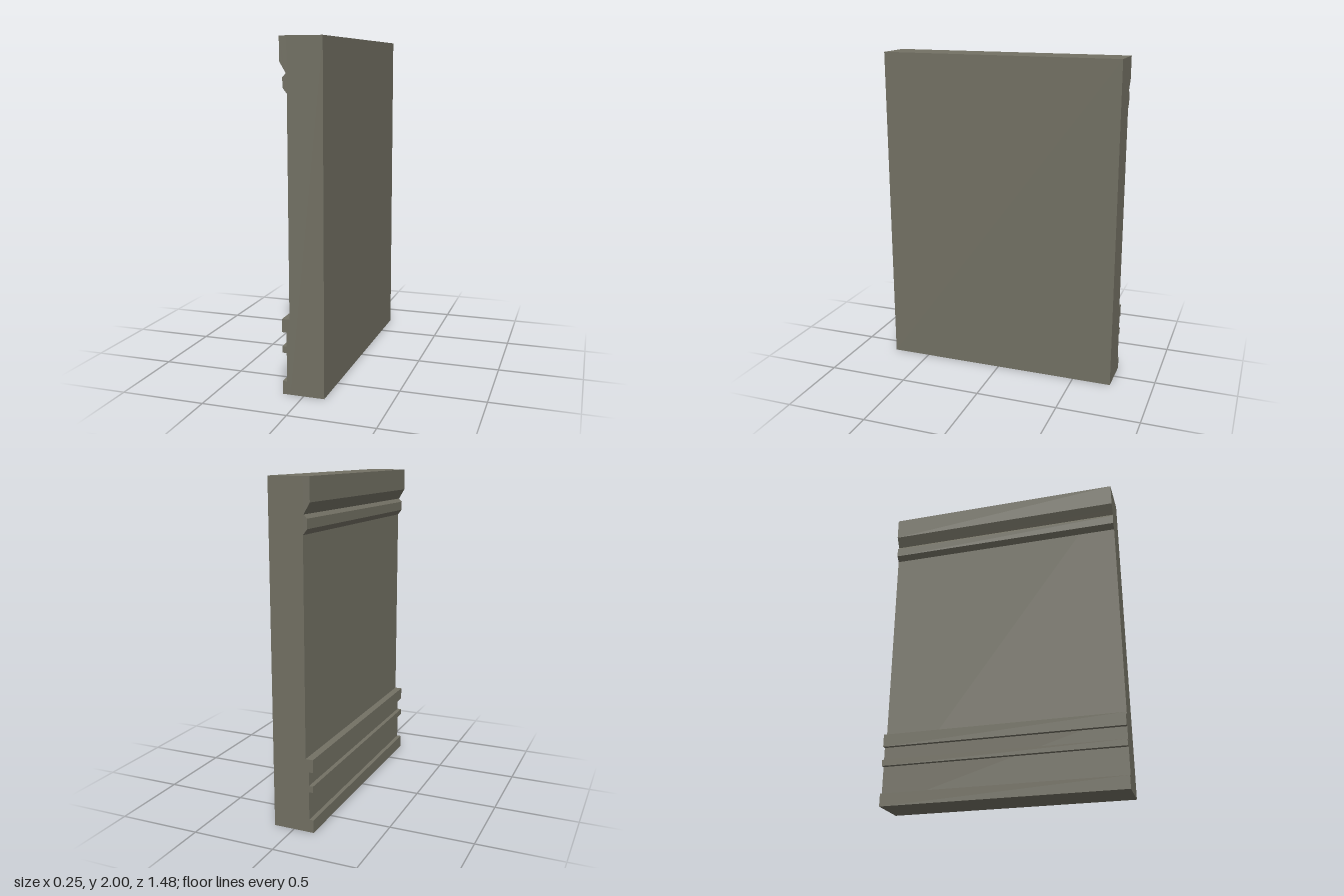
import * as THREE from 'three';

const DEPTH = 1.48;   // length of the wall along z
const FACE = -0.08;   // plane of the wall's moulded face
const BACK = 0.124;

export function createModel() {
  const group = new THREE.Group();
  group.name = 'wallSection';
  const stone = new THREE.MeshStandardMaterial({ color: 0x737164 });
  stone.name = 'greyStone';

  // Extrudes an x/y profile along the whole wall
  function addProfile(name, points) {
    const shape = new THREE.Shape(points.map(([x, y]) => new THREE.Vector2(x, y)));
    const geometry = new THREE.ExtrudeGeometry(shape, { depth: DEPTH, bevelEnabled: false });
    geometry.translate(0, 0, -DEPTH / 2);
    const mesh = new THREE.Mesh(geometry, stone);
    mesh.name = name;
    group.add(mesh);
  }

  const addBand = (name, front, back, bottom, top) =>
    addProfile(name, [[front, bottom], [back, bottom], [back, top], [front, top]]);

  // Plain wall slab
  addBand('wallSlab', FACE, BACK, 0, 2);

  // Cornice with a sloping underside
  addProfile('cornice', [
    [FACE, 1.803], [FACE, 2], [-0.122, 2], [-0.122, 1.866], [-0.102, 1.832], [-0.085, 1.803],
  ]);

  // Chamfered moulding below the cornice
  addProfile('corniceMoulding', [
    [FACE, 1.695], [FACE, 1.803], [-0.085, 1.803], [-0.105, 1.782], [-0.105, 1.727],
  ]);

  // Plinth with three projecting bands
  const plinthFace = -0.099;
  addBand('plinth', plinthFace, FACE, 0, 0.443);
  [
    ['footBand', 0, 0.077],
    ['middleBand', 0.246, 0.284],
    ['upperBand', 0.366, 0.443],
  ].forEach(([name, bottom, top]) => addBand(name, -0.125, plinthFace, bottom, top));

  return group;
}
